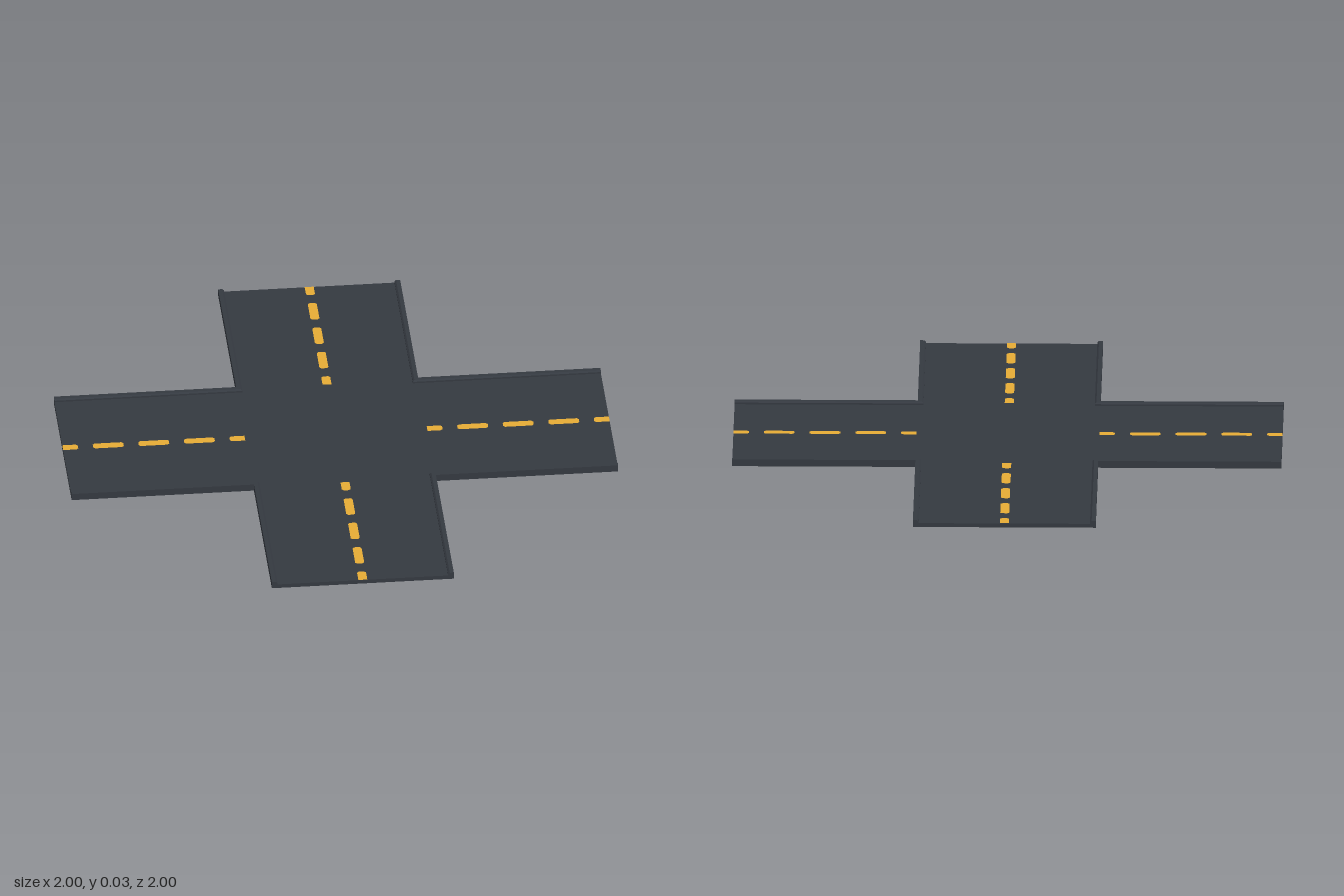
import * as THREE from 'three';

const ROAD = 0.312, EDGE = 0.333, ROAD_Y = 0.015, CURB_Y = 0.026;

const toShape = points => new THREE.Shape(points.map(([x, y]) => new THREE.Vector2(x, y)));

// Curb section (distance from road axis, height) swept around an inside corner with a mitre
function curbGeometry() {
  const profile = [[EDGE, 0], [EDGE, CURB_Y], [0.318, CURB_Y], [ROAD, 0.021], [ROAD, 0]];
  const n = profile.length;
  const stations = [o => [1, o], o => [o, o], o => [o, 1]];
  const pos = [], index = [];
  for (const at of stations) {
    for (const [o, y] of profile) {
      const [x, z] = at(o);
      pos.push(x, y, z);
    }
  }
  for (let s = 0; s < 2; s++) {
    for (let i = 0; i < n; i++) {
      const a = s * n + i, b = s * n + (i + 1) % n;
      index.push(a, b, a + n, b, b + n, a + n);
    }
  }
  // End caps
  for (let i = 1; i < n - 1; i++) {
    index.push(0, i + 1, i);
    index.push(2 * n, 2 * n + i, 2 * n + i + 1);
  }
  const indexed = new THREE.BufferGeometry();
  indexed.setAttribute('position', new THREE.Float32BufferAttribute(pos, 3));
  indexed.setIndex(index);
  const geo = indexed.toNonIndexed();
  geo.computeVertexNormals();
  return geo;
}

// Flat painted dash running along x with clipped corners; square at a cut end
function dashGeometry(x0, x1, cutStart, cutEnd) {
  const w = 0.0165, c = 0.007;
  const a = cutStart ? 0 : c, b = cutEnd ? 0 : c;
  const shape = toShape([
    [x0 + a, -w], [x1 - b, -w], [x1, -w + b], [x1, w - b],
    [x1 - b, w], [x0 + a, w], [x0, w - a], [x0, -w + a],
  ]);
  return new THREE.ShapeGeometry(shape).rotateX(-Math.PI / 2).translate(0, ROAD_Y + 0.001, 0);
}

export function createModel() {
  const model = new THREE.Group();
  model.name = 'crossroads';

  const asphalt = new THREE.MeshStandardMaterial({ color: 0x343940 });
  asphalt.name = 'asphalt';
  const paint = new THREE.MeshStandardMaterial({ color: 0xe6ac35 });
  paint.name = 'yellowPaint';

  // Cross-shaped road slab
  const r = ROAD;
  const outline = toShape([
    [1, -r], [1, r], [r, r], [r, 1], [-r, 1], [-r, r],
    [-1, r], [-1, -r], [-r, -r], [-r, -1], [r, -1], [r, -r],
  ]);
  const slab = new THREE.ExtrudeGeometry(outline, { depth: ROAD_Y, bevelEnabled: false });
  const road = new THREE.Mesh(slab.rotateX(-Math.PI / 2), asphalt);
  road.name = 'road';
  model.add(road);

  // Four corner curbs and four dashed centre lines
  const curbGeo = curbGeometry();
  const period = 1 / 6, half = 0.056;
  for (let k = 0; k < 4; k++) {
    const angle = k * Math.PI / 2;
    const curb = new THREE.Mesh(curbGeo, asphalt);
    curb.name = 'curb' + (k + 1);
    curb.rotation.y = angle;
    model.add(curb);

    const line = new THREE.Group();
    line.name = 'centreLine' + (k + 1);
    line.rotation.y = angle;
    for (let i = 2; i <= 6; i++) {
      const x = i * period;
      const geo = dashGeometry(Math.max(x - half, 1 / 3), Math.min(x + half, 1), i === 2, i === 6);
      const dash = new THREE.Mesh(geo, paint);
      dash.name = 'dash';
      line.add(dash);
    }
    model.add(line);
  }
  return model;
}
